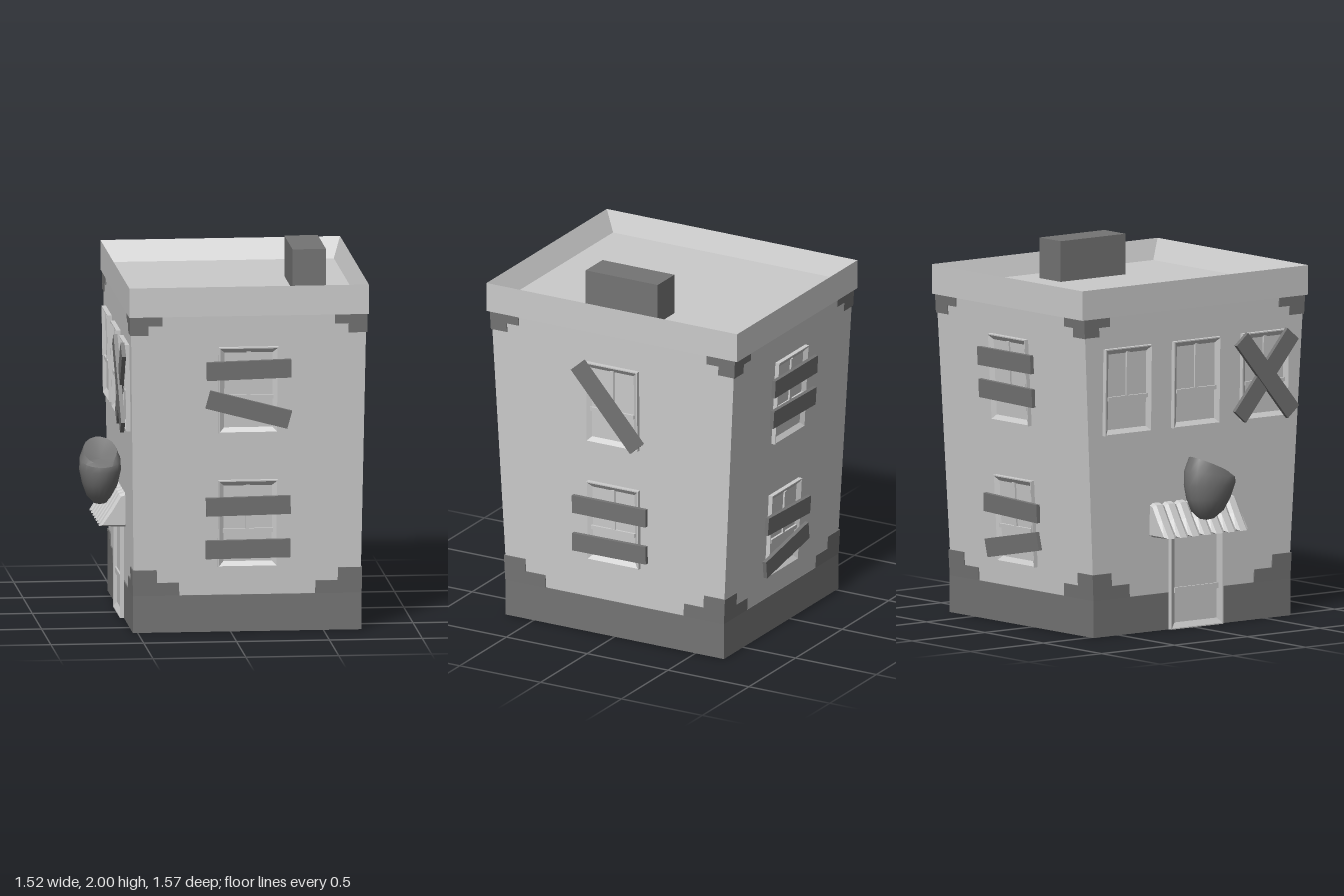
import * as THREE from 'three';
import { toCreasedNormals } from 'three/addons/utils/BufferGeometryUtils.js';

const light = new THREE.MeshStandardMaterial({ color: 0xcccccc, side: THREE.DoubleSide });
const dark = new THREE.MeshStandardMaterial({ color: 0x747474, side: THREE.DoubleSide });

// Wall measures: vertical plinth, then walls that lean outwards up to the cornice
const CX = 0.09, Y0 = 0.2, Y1 = 1.73;
const LOW = { x: 0.61, z: 0.67 }, HIGH = { x: 0.634, z: 0.752 };

function add(parent, name, geometry, material, x = 0, y = 0, z = 0) {
  const mesh = new THREE.Mesh(geometry, material);
  mesh.name = name;
  mesh.position.set(x, y, z);
  parent.add(mesh);
  return mesh;
}

// Skin closed rings of points, from the first to the last
function loft(rings, crease = 0.6) {
  const n = rings[0].length, index = [];
  for (let r = 0; r < rings.length - 1; r++) {
    for (let i = 0; i < n; i++) {
      const a = r * n + i, b = r * n + (i + 1) % n;
      index.push(a, b, b + n, a, b + n, a + n);
    }
  }
  const geo = new THREE.BufferGeometry();
  geo.setAttribute('position', new THREE.Float32BufferAttribute(rings.flat(2), 3));
  geo.setIndex(index);
  return toCreasedNormals(geo, crease);
}

const rect = (y, hx, hz) => [[hx, y, hz], [hx, y, -hz], [-hx, y, -hz], [-hx, y, hz]];

// Raised frame whose inner side slopes back to the pane
function framedPanel(w, h, depth, bar) {
  const a = w / 2, b = h / 2;
  return loft([
    rect(0, a, b), rect(depth, a, b), rect(depth, a - 0.006, b - 0.006),
    rect(0.006, a - bar, b - bar), rect(0.006, 0, 0),
  ], 0.1).rotateX(Math.PI / 2);
}

// Window standing on a wall plane; planks are [u, y, degrees, length]
function addWindow(face, u, bottom, top, planks = []) {
  const g = new THREE.Group();
  g.name = 'window';
  const h = top - bottom, mid = h * 0.42;
  g.position.set(u, bottom - Y0, 0);
  add(g, 'windowFrame', framedPanel(0.32, h, 0.024, 0.03), light, 0, h / 2, 0);
  add(g, 'windowRail', new THREE.BoxGeometry(0.27, 0.022, 0.018), light, 0, mid, 0.009);
  add(g, 'windowMullion', new THREE.BoxGeometry(0.022, h - mid - 0.03, 0.016), light, 0, (h + mid) / 2 - 0.01, 0.008);
  planks.forEach(([pu, y, deg, length = 0.455], i) => {
    const plank = add(g, 'plank', new THREE.BoxGeometry(length, 0.1, 0.022), dark, pu, y - bottom, 0.034 + (length > 0.5 ? i * 0.01 : 0));
    plank.rotation.z = THREE.MathUtils.degToRad(deg);
  });
  face.add(g);
}

// Stepped corner patch; steps are [yFrom, yTo, width], starting next to the band
function addQuoins(face, axis, steps) {
  const half = y => THREE.MathUtils.lerp(LOW[axis], HIGH[axis], (y - Y0) / (Y1 - Y0)) + 0.006;
  for (const side of [-1, 1]) {
    for (const [ya, yb, width] of steps) {
      const s = new THREE.Shape([
        [half(ya), ya], [half(yb), yb], [half(yb) - width, yb], [half(ya) - width, ya],
      ].map(([u, y]) => new THREE.Vector2(u * side, y - Y0)));
      add(face, 'cornerStone', new THREE.ExtrudeGeometry(s, { depth: 0.012, bevelEnabled: false }), dark, 0, 0, -0.006);
    }
  }
}

// Local wall plane: x to the viewer's right, y up the wall, z outwards
function makeFace(building, name, turn, out, along) {
  const pivot = new THREE.Group(), face = new THREE.Group();
  pivot.name = name;
  pivot.rotation.y = turn;
  pivot.position.x = CX;
  face.position.set(0, Y0, LOW[out]);
  face.rotation.x = Math.atan((HIGH[out] - LOW[out]) / (Y1 - Y0));
  pivot.add(face);
  building.add(pivot);
  addQuoins(face, along, [[0.2, 0.27, 0.25], [0.27, 0.34, 0.13]]);
  addQuoins(face, along, [[1.68, 1.73, 0.175], [1.63, 1.68, 0.1]]);
  return face;
}

function addSign(building) {
  // Egg-like body with a narrow foot and a dished, tilted top
  const ring = (y, r, tilt = 0, shift = 0) => Array.from({ length: 18 }, (_, i) => {
    const t = i / 18 * Math.PI * 2, c = Math.cos(t), s = -Math.sin(t);
    return [0.113 * r * c, y - tilt * s, 0.153 * r * s + shift];
  });
  const geo = loft([
    ring(0.59, 0, 0, -0.02), ring(0.6, 0.3, 0, -0.02), ring(0.64, 0.63, 0, -0.015),
    ring(0.71, 0.86, 0, -0.008), ring(0.785, 1), ring(0.84, 0.98, 0.025),
    ring(0.885, 0.8, 0.055), ring(0.84, 0, 0),
  ], 0.8);
  add(building, 'hangingSign', geo, dark, -0.638, 0, 0.032);
}

export function createModel() {
  const building = new THREE.Group();
  building.name = 'building';

  // Shell, plinth, roof with parapet, chimney
  add(building, 'walls', loft([
    rect(0.01, LOW.x, LOW.z), rect(Y0, LOW.x, LOW.z), rect(Y1, HIGH.x, HIGH.z),
  ], 0.01), light, CX);
  const px = LOW.x + 0.006, pz = LOW.z + 0.006;
  add(building, 'plinth', loft([
    rect(Y0, px - 0.03, pz - 0.03), rect(0, px - 0.03, pz - 0.03), rect(0, px, pz),
    rect(Y0, px, pz), rect(Y0, px - 0.03, pz - 0.03),
  ], 0.1), dark, CX);
  add(building, 'roof', loft([
    rect(Y1, 0, 0), rect(Y1, 0.645, 0.775), rect(1.89, 0.645, 0.775),
    rect(1.78, 0.605, 0.713), rect(1.78, 0, 0),
  ], 0.1), light, CX);
  add(building, 'chimney', new THREE.BoxGeometry(0.18, 0.23, 0.445), dark, 0.465, 1.885, 0.043);

  // Boarded windows on each wall
  const front = makeFace(building, 'frontWall', 0, 'z', 'x');
  addWindow(front, 0, 1.09, 1.56, [[0, 1.44, 1.5], [0, 1.222, -15]]);
  addWindow(front, 0, 0.355, 0.83, [[0, 0.693, 1], [0, 0.457, 0.5]]);

  const left = makeFace(building, 'leftWall', Math.PI / 2, 'x', 'z');
  addWindow(left, 0, 1.1, 1.555, [[-0.018, 1.33, -49, 0.553]]);
  addWindow(left, 0, 0.42, 0.87, [[-0.01, 0.732, 0], [-0.01, 0.517, 0.5]]);

  const back = makeFace(building, 'backWall', Math.PI, 'z', 'x');
  addWindow(back, -0.02, 1.1, 1.57, [[0, 1.445, 0], [0, 1.265, -1]]);
  addWindow(back, -0.02, 0.33, 0.8, [[0, 0.64, -2], [0, 0.44, 11]]);

  const right = makeFace(building, 'rightWall', -Math.PI / 2, 'x', 'z');
  addWindow(right, -0.46, 1.09, 1.56);
  addWindow(right, 0.01, 1.09, 1.56);
  addWindow(right, 0.48, 1.09, 1.56, [[-0.01, 1.325, 50, 0.553], [-0.01, 1.325, -50, 0.553]]);

  // Door below the awning
  const door = new THREE.Group();
  door.name = 'door';
  door.position.set(CX - px, 0, 0.02);
  door.rotation.y = -Math.PI / 2;
  add(door, 'doorFrame', framedPanel(0.36, 0.56, 0.022, 0.035), light, 0, 0.28, 0);
  add(door, 'doorRail', new THREE.BoxGeometry(0.3, 0.03, 0.016), light, 0, 0.21, 0.008);
  building.add(door);

  // Pleated awning made of chamfered ribs
  const rib = new THREE.Shape([
    [-0.52, 0.522], [-0.65, 0.522], [-0.595, 0.6], [-0.55, 0.675], [-0.52, 0.685],
  ].map(p => new THREE.Vector2(...p)));
  const ribGeo = new THREE.ExtrudeGeometry(rib, {
    depth: 0.042, bevelSize: 0.013, bevelThickness: 0.02, bevelSegments: 1,
  });
  for (let i = 0; i < 7; i++) add(building, 'awningRib', ribGeo, light, 0, 0, -0.27 + i * 0.082);

  addSign(building);
  return building;
}
